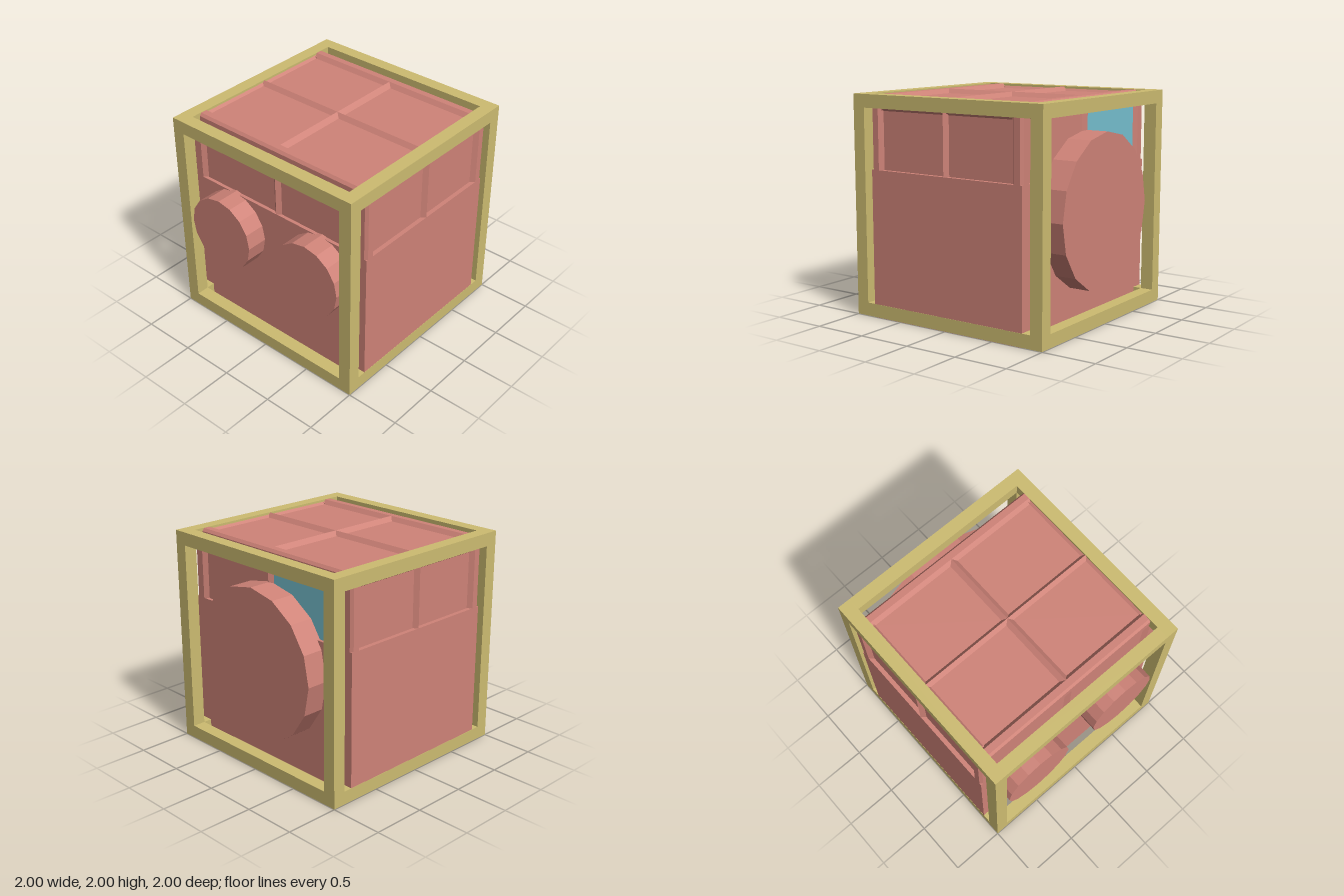
import * as THREE from 'three';

export function createModel() {
  const model = new THREE.Group();
  const paint = (name, color) => {
    const m = new THREE.MeshStandardMaterial({ color, flatShading: true });
    m.name = name;
    return m;
  };
  const olive = paint('olive', 0xcdbc71);
  const pink = paint('pink', 0xcf8378);
  const blue = paint('blue', 0x76bfcf);

  const add = (parent, name, geometry, material, x = 0, y = 0, z = 0) => {
    const mesh = new THREE.Mesh(geometry, material);
    mesh.name = name;
    mesh.position.set(x, y, z);
    parent.add(mesh);
    return mesh;
  };
  const shapeOf = (pts) => new THREE.Shape(pts.map(([x, y]) => new THREE.Vector2(x, y)));
  const extrude = (shape, depth) => new THREE.ExtrudeGeometry(shape, { depth, bevelEnabled: false });
  const square = (h) => [[-h, -h], [h, -h], [h, h], [-h, h]];

  // Outer cage: two square rings joined by four bars
  const cage = new THREE.Group();
  cage.name = 'outerFrame';
  cage.scale.y = 0.999;
  cage.position.y = 1.001;
  model.add(cage);
  const ring = shapeOf(square(1));
  ring.holes.push(shapeOf(square(0.88)));
  add(cage, 'frontRing', extrude(ring, 0.12), olive, 0, 0, 0.88);
  add(cage, 'backRing', extrude(ring, 0.12), olive, 0, 0, -1);
  for (const x of [-0.94, 0.94]) for (const y of [-0.94, 0.94]) {
    add(cage, 'sideBar', new THREE.BoxGeometry(0.12, 0.12, 1.76), olive, x, y, 0);
  }

  // Solid lower body
  add(model, 'lowerBody', new THREE.BoxGeometry(1.6, 1.34, 1.996), pink, 0, 0.67, 0);

  // Panelled upper block, made as a cube of half size 1 and then narrowed
  const upper = new THREE.Group();
  upper.name = 'upperBlock';
  upper.scale.set(0.8, 0.998, 0.998);
  upper.position.y = 1;
  model.add(upper);
  add(upper, 'panelCore', new THREE.BoxGeometry(1.92, 0.66, 1.92), pink, 0, 0.63, 0);

  // Chamfered rails and posts round the panels
  const section = shapeOf([[0.86, 0.86], [0.96, 0.86], [1, 0.9], [1, 0.975], [0.975, 1], [0.9, 1], [0.86, 0.96]]);
  const rail = extrude(section, 1.95).translate(0, 0, -0.975);
  const post = extrude(section, 0.675).rotateX(-Math.PI / 2).translate(0, 0.3, 0);
  for (let k = 0; k < 4; k++) {
    add(upper, 'topRail', rail, pink).rotation.y = k * Math.PI / 2;
    add(upper, 'cornerPost', post, pink).rotation.y = k * Math.PI / 2;
  }

  // Pointed ridges dividing the panels
  const ridge = shapeOf([[-0.06, 0.94], [0.06, 0.94], [0, 1]]);
  const topRidge = extrude(ridge, 1.84).translate(0, 0, -0.92);
  const sideRidge = extrude(ridge, 0.62).rotateX(-Math.PI / 2).translate(0, 0.3, 0);
  for (let k = 0; k < 4; k++) {
    if (k < 2) add(upper, 'topRidge', topRidge, pink).rotation.y = k * Math.PI / 2;
    add(upper, 'sideRidge', sideRidge, pink).rotation.y = k * Math.PI / 2;
  }

  // Window in the rear panel of the left side
  add(upper, 'window', new THREE.BoxGeometry(0.006, 0.54, 0.82), blue, 0.961, 0.6, -0.45);

  // Sixteen-sided discs on both sides
  const disc = (name, radius, side, z) => {
    const g = new THREE.CylinderGeometry(radius, radius, 0.25, 16).rotateZ(Math.PI / 2);
    add(model, name, g, pink, side * 0.873, 1, z);
  };
  disc('largeDisc', 0.7, 1, 0);
  for (const z of [-0.5, 0.5]) disc('smallDisc', 0.35, -1, z);

  return model;
}
